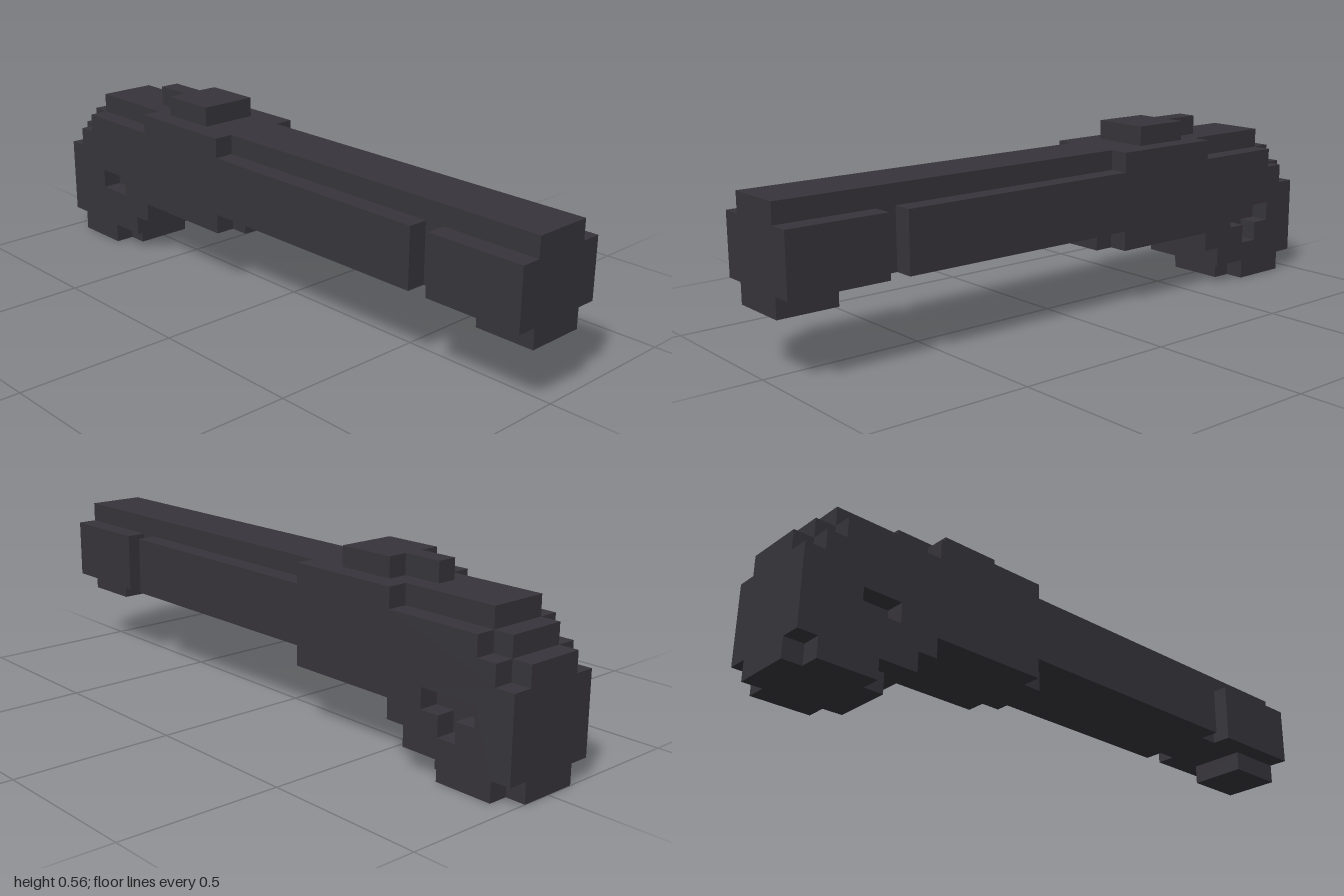
import * as THREE from 'three';

const U = 1 / 16; // one block

export function createModel() {
  const model = new THREE.Group();
  model.name = 'blockyPistol';
  const gunmetal = new THREE.MeshStandardMaterial({ color: 0x37353b });
  gunmetal.name = 'gunmetal';

  const toPoints = (pts) => pts.map(([a, y]) => new THREE.Vector2(a, y));

  // Profile in blocks (distance towards the back, height), extruded from x0 to x1
  function slab(name, profile, x0, x1, hole) {
    const shape = new THREE.Shape(toPoints(profile));
    if (hole) shape.holes.push(new THREE.Path(toPoints(hole)));
    const geometry = new THREE.ExtrudeGeometry(shape, { depth: x1 - x0, bevelEnabled: false });
    geometry.translate(0, 0, x0).rotateY(Math.PI / 2).scale(U, U, U);
    const mesh = new THREE.Mesh(geometry, gunmetal);
    mesh.name = name;
    model.add(mesh);
  }

  // Barrel, frame and grip core
  slab('core', [
    [-16, 3], [-13, 3], [-13, 4], [2, 4], [2, 3], [9, 3], [9, 2], [10, 2], [10, 1],
    [11, 1], [11, 0], [16, 0], [16, 6], [15, 6], [15, 7], [14, 7], [14, 8], [-16, 8],
  ], -1.5, 1.5);

  // Side plates; the gap between them is the muzzle groove
  const muzzlePlate = [[-16, 4], [-11, 4], [-11, 7], [-16, 7]];
  const framePlate = [
    [-10, 4], [3, 4], [3, 3], [9, 3], [9, 2], [10, 2], [10, 1], [12, 1], [12, 0], [15, 0], [15, 1],
    [16, 1], [16, 5], [15, 5], [15, 6], [14, 6], [14, 7], [9, 7], [9, 8], [3, 8], [3, 7], [-10, 7],
  ];
  // Recesses differ: a T on the left, a slot on the right
  const leftRecess = [[11, 3], [12, 3], [12, 2], [13, 2], [13, 3], [14, 3], [14, 4], [11, 4]];
  const rightRecess = [[11, 3], [13, 3], [13, 4], [11, 4]];

  for (const [side, x0, recess] of [['left', 1.5, leftRecess], ['right', -2.5, rightRecess]]) {
    slab(side + 'MuzzlePlate', muzzlePlate, x0, x0 + 1);
    slab(side + 'FramePlate', framePlate, x0, x0 + 1, recess);
  }

  // Lock on top with its narrow hammer behind
  slab('lock', [[5, 8], [8, 8], [8, 9], [5, 9]], -1.5, 1.5);
  slab('hammer', [[8, 8], [10, 8], [10, 9], [8, 9]], -0.5, 0.5);

  return model;
}
